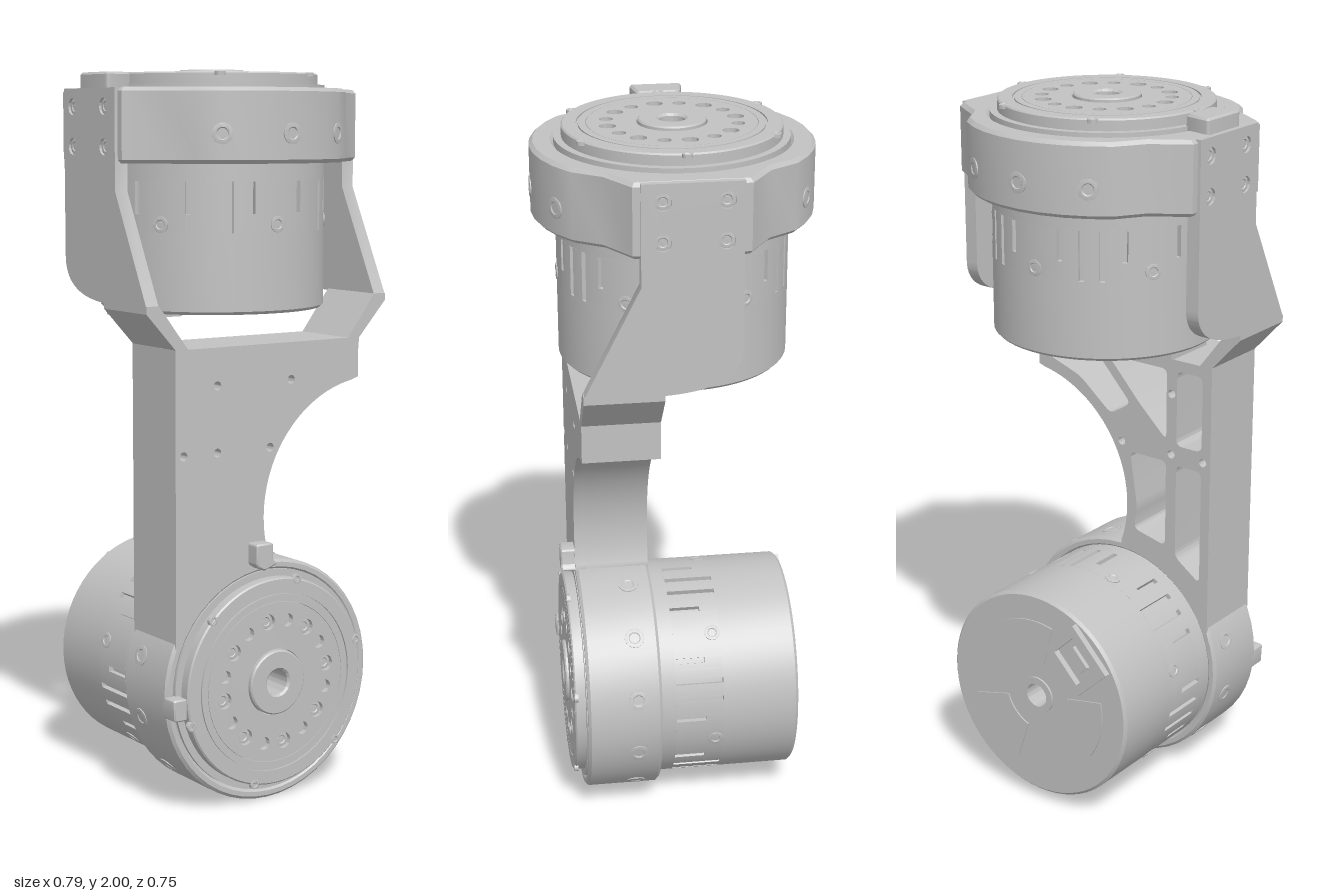
import * as THREE from 'three';
import { toCreasedNormals } from 'three/addons/utils/BufferGeometryUtils.js';

const metal = new THREE.MeshStandardMaterial({ color: 0xc2c2c2 });
metal.name = 'machined grey';
const rad = THREE.MathUtils.degToRad;
const UP = new THREE.Vector3(0, 1, 0);

function add(parent, name, geometry, x = 0, y = 0, z = 0) {
  const mesh = new THREE.Mesh(toCreasedNormals(geometry, 0.5), metal);
  mesh.name = name;
  mesh.position.set(x, y, z);
  parent.add(mesh);
  return mesh;
}

function extrude(shape, depth, bevel = 0, curveSegments = 24) {
  const g = new THREE.ExtrudeGeometry(shape, {
    depth: depth - 2 * bevel, curveSegments, bevelEnabled: bevel > 0,
    bevelSize: bevel, bevelThickness: bevel, bevelOffset: -bevel, bevelSegments: 1,
  });
  return g.translate(0, 0, bevel);
}
// Extrusion rising along y, with shape y pointing to -z
const extrudeUp = (...args) => extrude(...args).rotateX(-Math.PI / 2);
const lathe = (pts, n = 64) => new THREE.LatheGeometry(pts.map(p => new THREE.Vector2(...p)), n);
const poly = pts => new THREE.Shape(pts.map(p => new THREE.Vector2(...p)));
const hole = (x, y, r) => new THREE.Path().absarc(x, y, r, 0, Math.PI * 2, true);
const disc = r => new THREE.Shape().absarc(0, 0, r, 0, Math.PI * 2, false);

// Polygon with rounded corners, used for the pockets and tabs
function rounded(pts, r, Type = THREE.Path) {
  const path = new Type(), v = pts.map(p => new THREE.Vector2(...p));
  v.forEach((p, i) => {
    const toward = q => p.clone().add(q.clone().sub(p).setLength(r));
    const a = toward(v[(i + v.length - 1) % v.length]), b = toward(v[(i + 1) % v.length]);
    if (i) path.lineTo(a.x, a.y); else path.moveTo(a.x, a.y);
    path.quadraticCurveTo(p.x, p.y, b.x, b.y);
  });
  path.closePath();
  return path;
}

function arcShape(r0, r1, a0, a1) {
  return new THREE.Shape().absarc(0, 0, r1, rad(a0), rad(a1), false)
    .absarc(0, 0, r0, rad(a1), rad(a0), true);
}

// Socket-head screw facing a given direction
function screw(parent, x, y, z, nx, ny, nz, r = 0.024) {
  const g = lathe([[r, -0.008], [r, 0.002], [r * 0.85, 0.003], [r * 0.6, 0.003], [r * 0.5, 0.0005], [0, 0.0005]], 16);
  add(parent, 'screw', g, x, y, z).quaternion.setFromUnitVectors(UP, new THREE.Vector3(nx, ny, nz).normalize());
}

// Motor with its output face up, the collar's top at y = 0
function actuator(name) {
  const g = new THREE.Group();
  g.name = name;
  add(g, 'motorHousing', lathe([
    [0.035, -0.6], [0.302, -0.6], [0.31, -0.592], [0.31, -0.385], [0.296, -0.385], [0.296, -0.25],
    [0.31, -0.25], [0.31, 0.004], [0.29, 0.004], [0.29, 0.031], [0.286, 0.035], [0.25, 0.035],
    [0.25, 0.03], [0.245, 0.03], [0.245, 0.035], [0.225, 0.035], [0.225, 0.018], [0.09, 0.018],
    [0.09, 0.041], [0.086, 0.045], [0.041, 0.045], [0.035, 0.039], [0.035, -0.6],
  ]));

  // Output plate with alternating bolt and dowel holes
  const plate = disc(0.224);
  plate.holes.push(hole(0, 0, 0.093));
  for (let i = 0; i < 8; i++) {
    for (const [offset, r] of [[8, 0.022], [31, 0.018]]) {
      const a = rad(offset + 45 * i);
      plate.holes.push(hole(0.173 * Math.cos(a), 0.173 * Math.sin(a), r));
    }
    const a = rad(8 + 45 * i);
    screw(g, 0.173 * Math.cos(a), 0.022, -0.173 * Math.sin(a), 0, 1, 0, 0.021);
  }
  add(g, 'outputPlate', extrudeUp(plate, 0.017), 0, 0.018, 0);

  // Slotted cooling band: solid blocks between slots, the outer slots shorter
  const blocks = [], fillers = [];
  for (let k = 0; k < 6; k++) {
    const slots = [14, 25, 35, 46].map(o => 30 + 60 * k + o);
    slots.forEach((s, i) => {
      const next = i < 3 ? slots[i + 1] : slots[0] + 60;
      blocks.push(arcShape(0.294, 0.31, s + 1.4, next - 1.4));
      if (i === 0 || i === 3) fillers.push(arcShape(0.294, 0.31, s - 1.4, s + 1.4));
    });
    const a = rad(30 + 60 * k), c = Math.cos(a), s = -Math.sin(a);
    screw(g, 0.31 * c, -0.363, 0.31 * s, c, 0, s, 0.022);
    const b = rad(60 * k);
    screw(g, 0.288 * Math.cos(b), 0.033, -0.288 * Math.sin(b), 0, 1, 0, 0.014);
  }
  add(g, 'coolingBand', extrudeUp(blocks, 0.135, 0, 5), 0, -0.385, 0);
  add(g, 'slotEnds', extrudeUp(fillers, 0.05, 0, 2), 0, -0.385, 0);

  // Rear cover
  const sectors = [0, 120, 240].map(a => arcShape(0.11, 0.23, a - 28, a + 28));
  add(g, 'rearSectors', extrudeUp(sectors, 0.004, 0, 16), 0, -0.604, 0);
  const ring = disc(0.055);
  ring.holes.push(hole(0, 0, 0.035));
  add(g, 'rearBoss', extrudeUp(ring, 0.006), 0, -0.606, 0);
  const frame = poly([[-0.07, -0.082], [0.07, -0.082], [0.07, 0.082], [-0.07, 0.082]]);
  frame.holes.push(poly([[-0.045, -0.055], [-0.045, 0.055], [0.045, 0.055], [0.045, -0.055]]));
  add(g, 'connectorFrame', extrudeUp(frame, 0.02), -0.215, -0.618, -0.012);
  add(g, 'connectorPlug', new THREE.BoxGeometry(0.04, 0.012, 0.07), -0.215, -0.606, -0.012);
  return g;
}

export function createModel() {
  const model = new THREE.Group();
  model.name = 'jointModule';

  const upper = actuator('upperActuator');
  upper.position.y = 1.955;
  const lower = actuator('lowerActuator');
  lower.position.set(0, 0.343, 0.278);
  lower.rotation.set(Math.PI / 2, rad(-44), 0);
  model.add(upper, lower);

  // Upper collar: round front and back with flat cheeks at the sides
  const pts = [];
  for (const s of [1, -1]) {
    pts.push([0.384 * s, 0.15 * s], [0.29 * s, 0.212 * s]);
    for (let i = 0; i <= 8; i++) {
      const a = rad(50 + 10 * i);
      pts.push([0.375 * s * Math.cos(a), 0.375 * s * Math.sin(a)]);
    }
    pts.push([-0.29 * s, 0.212 * s], [-0.384 * s, 0.15 * s]);
  }
  const collar = poly(pts);
  collar.holes.push(hole(0, 0, 0.309));
  add(model, 'upperCollar', extrudeUp(collar, 0.197, 0.01), 0, 1.752, 0);
  for (const a of [60, 90, 120, 240, 270, 300]) {
    const c = Math.cos(rad(a)), s = Math.sin(rad(a));
    screw(model, 0.374 * c, 1.83, 0.374 * s, c, 0, s, 0.028);
  }
  const upperTab = rounded([[-0.377, -0.07], [-0.295, -0.055], [-0.295, 0.06], [-0.377, 0.077]], 0.012, THREE.Shape);
  add(model, 'upperTab', extrudeUp(upperTab, 0.05, 0.006), 0, 1.94, 0);

  // Yoke arms with bolt recesses, and the sloped shoulders below them
  const arm = poly([[0.13, 1.948], [-0.13, 1.948], [-0.13, 1.5]]);
  arm.quadraticCurveTo(-0.13, 1.395, 0.07, 1.385);
  [[0.28, 1.385], [0.13, 1.68]].forEach(p => arm.lineTo(...p));
  const armBolts = [[0.075, 1.795], [0.075, 1.9], [-0.085, 1.795], [-0.085, 1.9]];
  arm.holes.push(...armBolts.map(([z, y]) => hole(z, y, 0.022)));
  for (const s of [1, -1]) {
    const side = s > 0 ? 'left' : 'right';
    add(model, side + 'Arm', extrude(arm, 0.038).rotateY(-Math.PI / 2), s > 0 ? 0.393 : -0.355, 0, 0);
    const shoulder = poly([[0.393, 1.39], [0.355, 1.39], [0.265, 1.272], [0.23, 1.272], [0.25, 1.24], [0.302, 1.24], [0.302, 1.27], [0.393, 1.37]]
      .map(([x, y]) => [x * s, y]));
    add(model, side + 'Shoulder', extrude(shoulder, 0.21), 0, 0, 0.07);
    for (const [z, y] of armBolts) screw(model, s * 0.384, y, z, s, 0, 0, 0.022);
  }

  // Stem outline with a round cut-out on its left side
  const stem = () => {
    const p = poly([[0.3, 1.162], [0.3, 1.272], [-0.305, 1.272], [-0.305, 0.47]]);
    p.absarc(0, 0.343, 0.325, rad(156), rad(90), true);
    p.absarc(0.34, 0.8, 0.36, rad(199.5), rad(100), true);
    return p;
  };
  const bolts = [[-0.28, 0.99], [-0.172, 0.99], [0, 0.99], [-0.172, 1.17]];
  const skin = stem(), ribs = stem();
  for (const [x, y] of bolts) {
    skin.holes.push(hole(x, y, 0.012));
    ribs.holes.push(hole(x, y, 0.012));
  }
  skin.holes.push(hole(0.07, 1.17, 0.012));
  ribs.holes.push(...[
    [[-0.275, 1.24], [-0.19, 1.24], [-0.19, 1.02], [-0.275, 1.02]],
    [[-0.155, 1.24], [0.05, 1.24], [-0.06, 1.12], [-0.155, 1.03]],
    [[0.09, 1.24], [0.265, 1.24], [0.265, 1.195], [0.15, 1.155], [0.04, 1.065], [-0.03, 1.11]],
    [[-0.275, 0.96], [-0.19, 0.96], [-0.19, 0.68], [-0.275, 0.62]],
    [[-0.155, 0.965], [-0.03, 0.965], [-0.055, 0.8], [-0.045, 0.73], [-0.155, 0.705]],
  ].map(p => rounded(p, 0.02)));
  add(model, 'stemSkin', extrude(skin, 0.03), 0, 0, 0.25);
  add(model, 'stemRibs', extrude(ribs, 0.18), 0, 0, 0.07);

  // Lower collar with screws around its rim
  const lowerCollar = disc(0.338);
  lowerCollar.holes.push(hole(0, 0, 0.309));
  add(model, 'lowerCollar', extrude(lowerCollar, 0.21, 0.008), 0, 0.341, 0.07);
  for (let a = -195; a <= 75; a += 30) {
    const c = Math.cos(rad(a)), s = Math.sin(rad(a));
    screw(model, 0.337 * c, 0.341 + 0.337 * s, 0.138, c, s, 0, 0.028);
  }
  const topTab = rounded([[-0.07, 0.735], [-0.07, 0.675], [-0.045, 0.66], [0, 0.675], [-0.015, 0.69], [-0.015, 0.735]], 0.008, THREE.Shape);
  add(model, 'lowerTopTab', extrude(topTab, 0.05, 0.004), 0, 0, 0.27);
  const sideTab = rounded([[-0.338, 0.345], [-0.335, 0.285], [-0.295, 0.285], [-0.295, 0.345]], 0.008, THREE.Shape);
  add(model, 'lowerSideTab', extrude(sideTab, 0.06, 0.004), 0, 0, 0.26);
  return model;
}
